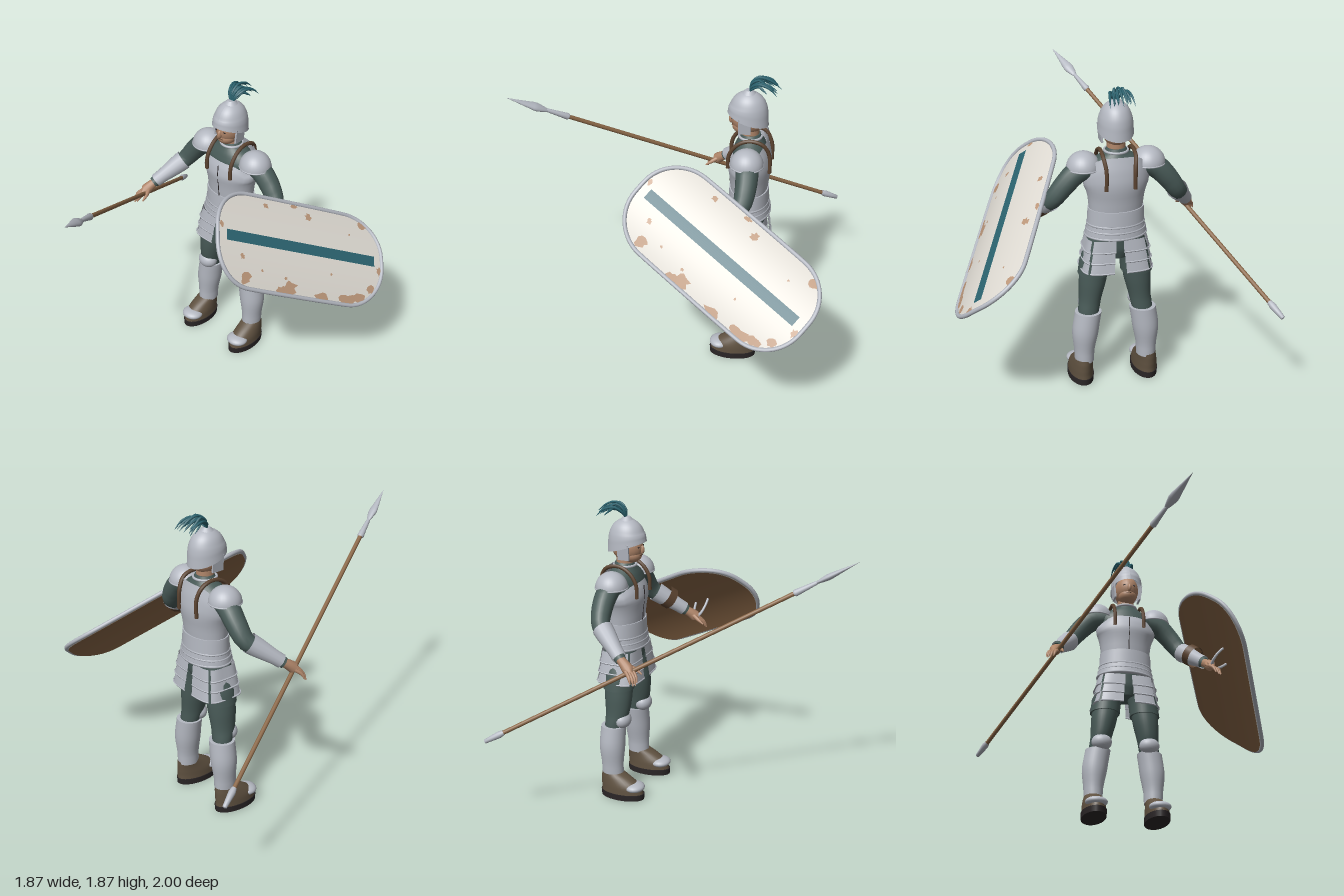
import * as THREE from 'three';

const mat = (name, color, side = THREE.DoubleSide) => {
  const m = new THREE.MeshStandardMaterial({ color, side });
  m.name = name;
  return m;
};
const V = (x, y, z) => new THREE.Vector3(x, y, z);

export function createModel() {
  const steel = mat('steel', 0xb4b8c1), cloth = mat('cloth', 0x495b58), skin = mat('skin', 0xb0866a);
  const leather = mat('leather', 0x5c4431), boot = mat('boot', 0x5f5140), sole = mat('sole', 0x2b2627);
  const wood = mat('wood', 0x8a6747), white = mat('shieldPaint', 0xdedad2), tan = mat('wornPaint', 0xbc977a);
  const teal = mat('teal', 0x2b636f);
  const model = new THREE.Group();
  const body = new THREE.Group();
  body.name = 'soldier';
  body.position.x = -0.05;
  model.add(body);

  const add = (parent, name, geo, m, pos = [0, 0, 0], scale = [1, 1, 1]) => {
    const mesh = new THREE.Mesh(geo, m);
    mesh.name = name;
    mesh.position.set(...pos);
    mesh.scale.set(...scale);
    parent.add(mesh);
    return mesh;
  };
  const ball = (name, m, pos, radii) => add(body, name, new THREE.SphereGeometry(1, 24, 16), m, pos, radii);

  // Move every vertex by a rule
  const reshape = (g, rule) => {
    const p = g.attributes.position;
    for (let k = 0; k < p.count; k++) p.setXYZ(k, ...rule(p.getX(k), p.getY(k), p.getZ(k)));
    g.computeVertexNormals();
    return g;
  };

  // Smooth stack of ellipses, bottom to top: [y, x, z, rx, rz]
  const loft = (rings, caps = true, seg = 32) => {
    const mid = new THREE.CatmullRomCurve3(rings.map(r => V(r[1], r[0], r[2])));
    const rad = new THREE.CatmullRomCurve3(rings.map(r => V(r[3], r[4], 0)));
    const n = (rings.length - 1) * 4, pos = [], idx = [];
    for (let i = 0; i <= n; i++) {
      const c = mid.getPoint(i / n), r = rad.getPoint(i / n);
      for (let j = 0; j < seg; j++) {
        const a = j / seg * Math.PI * 2, k = i * seg + j, l = i * seg + (j + 1) % seg;
        pos.push(c.x + r.x * Math.sin(a), c.y, c.z + r.y * Math.cos(a));
        if (i < n) idx.push(k, l, l + seg, k, l + seg, k + seg);
      }
    }
    if (caps) for (const i of [0, n]) {
      const c = mid.getPoint(i / n), b = pos.length / 3;
      pos.push(...pos.slice(i * seg * 3, (i + 1) * seg * 3), c.x, c.y, c.z);
      for (let j = 0; j < seg; j++) {
        const k = b + j, l = b + (j + 1) % seg;
        idx.push(b + seg, ...(i ? [k, l] : [l, k]));
      }
    }
    const g = new THREE.BufferGeometry();
    g.setAttribute('position', new THREE.Float32BufferAttribute(pos, 3));
    g.setIndex(idx);
    g.computeVertexNormals();
    return g;
  };

  // Tube along points whose radius runs through the given values
  const limb = (points, radii, n = 16, sides = 14) => {
    const path = new THREE.CatmullRomCurve3(points.map(p => V(...p)));
    const g = new THREE.TubeGeometry(path, n, 1, sides), p = g.attributes.position, v = V(0, 0, 0);
    for (let k = 0; k < p.count; k++) {
      const t = Math.floor(k / (sides + 1)) / n, f = t * (radii.length - 1);
      const i = Math.min(Math.floor(f), radii.length - 2), c = path.getPointAt(t);
      v.fromBufferAttribute(p, k).sub(c).multiplyScalar(THREE.MathUtils.lerp(radii[i], radii[i + 1], f - i)).add(c);
      p.setXYZ(k, v.x, v.y, v.z);
    }
    return g;
  };

  // Torso
  add(body, 'tunic', loft([[0.95, 0, -0.47, 0.155, 0.105], [1.12, 0, -0.47, 0.145, 0.097], [1.3, 0, -0.47, 0.172, 0.11],
    [1.38, 0, -0.47, 0.18, 0.104], [1.43, 0, -0.47, 0.14, 0.088], [1.475, 0, -0.47, 0.07, 0.065], [1.5, 0, -0.47, 0.055, 0.057]]), cloth);
  const plate = loft([[1.1, 0, -0.47, 0.156, 0.109], [1.2, 0, -0.47, 0.167, 0.12], [1.3, 0, -0.47, 0.19, 0.132],
    [1.37, 0, -0.47, 0.195, 0.122], [1.44, 0, -0.47, 0.183, 0.1]], false);
  add(body, 'cuirass', reshape(plate, (x, y, z) => { // armholes, lower neckline in front, higher behind
    const cut = Math.min(0.55, (z > -0.47 ? 0.27 : -0.14) + 0.55 * (x / 0.19) ** 4);
    return [x, y - Math.max(0, y - 1.25) * cut, z];
  }), steel);
  add(body, 'cuirassSeam', limb([[0, 1.13, -0.355], [0, 1.2, -0.35], [0, 1.3, -0.339], [0, 1.36, -0.343]], [0.003, 0.003], 8, 6), sole);
  [[1.035, 1.135, 0.17, 0.124], [1, 1.04, 0.176, 0.13], [0.965, 1.005, 0.184, 0.136]].forEach(([a, b, x, z]) => {
    add(body, 'waistBand', loft([[a, 0, -0.47, x, z], [b, 0, -0.47, x - 0.004, z - 0.004]]), steel);
    add(body, 'waistBandEdge', new THREE.TorusGeometry(1, 0.028, 6, 40).rotateX(Math.PI / 2), steel, [0, a + 0.006, -0.47], [x, 0.25, z]);
  });
  add(body, 'hips', loft([[0.83, 0, -0.47, 0.08, 0.085], [0.89, 0, -0.47, 0.15, 0.105], [0.97, 0, -0.47, 0.16, 0.113]]), cloth);

  // Head and helmet
  add(body, 'neck', new THREE.CylinderGeometry(0.052, 0.056, 0.14, 20), skin, [0, 1.49, -0.465]);
  add(body, 'collar', new THREE.TorusGeometry(0.068, 0.008, 8, 28).rotateX(Math.PI / 2), steel, [0, 1.48, -0.467]);
  ball('head', skin, [0, 1.6, -0.45], [0.077, 0.1, 0.102]);
  ball('jaw', skin, [0, 1.548, -0.42], [0.06, 0.05, 0.064]);
  ball('nose', skin, [0, 1.585, -0.352], [0.013, 0.028, 0.017]);
  add(body, 'mouth', new THREE.BoxGeometry(0.035, 0.004, 0.006), leather, [0, 1.55, -0.358]);
  const dome = [[0.123, -0.057], [0.12, -0.012], [0.117, 0.03], [0.107, 0.075], [0.085, 0.115], [0.05, 0.143], [0.02, 0.152], [0, 0.153]];
  const curve = new THREE.SplineCurve(dome.map(p => new THREE.Vector2(...p)));
  const shell = reshape(new THREE.LatheGeometry(curve.getPoints(28), 40), (x, y, z) => // rim rises toward the brow
    [x, y + (0.5 + z / 0.24) * 0.075 * THREE.MathUtils.clamp((0.075 - y) / 0.13, 0, 1), z]);
  add(body, 'helmet', shell, steel, [0, 1.617, -0.45], [0.85, 1, 1]);
  add(body, 'plumeHolder', new THREE.CylinderGeometry(0.022, 0.042, 0.02, 20), steel, [0, 1.772, -0.45]);
  for (let i = 0; i < 13; i++) {
    const s = (i - 6) / 6, h = (i % 3) * 0.012 + 0.022 * s * s, e = (i % 2) * 0.04;
    add(body, 'plumeFeather', limb([[s * 0.01, 1.775, -0.455], [s * 0.03, 1.835 - h, -0.465], [s * 0.05, 1.865 - h, -0.51],
      [s * 0.064, 1.85 - h, -0.575 + e], [s * 0.073, 1.8 - 0.015 * s * s, -0.64 + e + h]], [0.004, 0.007, 0.008, 0.007, 0.001], 12, 6), teal);
  }

  // Rounds a unit ring toward a square, so hip plates hang flat in front and behind
  const squarish = g => reshape(g, (x, y, z) => {
    const r = Math.hypot(x, z), f = r / (x ** 4 + z ** 4) ** 0.25;
    return [x * f, y, z * f];
  });

  for (const s of [-1, 1]) {
    const P = (x, y, z) => [s * x, y, z];
    // Face and helmet sides
    add(body, 'eye', new THREE.BoxGeometry(0.02, 0.006, 0.008), sole, P(0.028, 1.604, -0.359));
    const cheek = add(body, 'cheekGuard', new THREE.BoxGeometry(0.012, 0.1, 0.075), steel, P(0.087, 1.58, -0.437));
    cheek.rotation.z = -s * 0.1;

    // Shoulder strap and pauldron
    add(body, 'shoulderStrap', limb([[1.3, -0.346], [1.39, -0.352], [1.46, -0.4], [1.49, -0.47], [1.47, -0.55], [1.4, -0.59], [1.28, -0.595]]
      .map(([y, z], i) => P(i > 4 ? 0.085 : 0.095, y, z)), [0.012, 0.012], 28, 8), leather);
    add(body, 'pauldron', new THREE.SphereGeometry(0.1, 28, 12, 0, Math.PI * 2, 0, Math.PI / 2), steel, P(0.192, 1.385, -0.467));
    add(body, 'pauldronRim', new THREE.TorusGeometry(0.098, 0.005, 8, 32).rotateX(Math.PI / 2), steel, P(0.192, 1.388, -0.467));

    // Arm
    add(body, 'sleeve', limb([P(0.13, 1.39, -0.47), P(0.23, 1.365, -0.475), P(0.31, 1.285, -0.475), P(0.37, 1.2, -0.455), P(0.42, 1.135, -0.37),
      P(0.485, 1.05, -0.27)], [0.06, 0.068, 0.062, 0.052, 0.045, 0.034]), cloth);
    add(body, 'bracer', limb([P(0.378, 1.19, -0.44), P(0.477, 1.062, -0.282)], [0.063, 0.059, 0.052, 0.045, 0.043]), steel);
    add(body, 'palm', limb([P(0.475, 1.06, -0.285), P(0.495, 1.03, -0.24), P(0.51, 1.0, -0.205), P(0.52, 0.985, -0.185)],
      [0.026, 0.03, 0.036, 0.002]), skin);
    for (let i = 0; i < 4; i++) {
      const o = (i - 1.5) * 0.018, l = i === 1 || i === 2 ? 1 : 0.85;
      const q = (x, y, z) => P(x + o * 0.75, y, z - o * 0.47);
      add(body, 'finger', limb([q(0.505, 1.005, -0.21), q(0.505 + 0.03 * l, 1.005 - 0.035 * l, -0.21 + 0.04 * l),
        q(0.505 + 0.043 * l, 1.005 - 0.075 * l, -0.21 + 0.055 * l)], [0.012, 0.011, 0.01, 0.003], 8, 8), skin);
    }
    add(body, 'thumb', limb([P(0.485, 1.025, -0.225), P(0.467, 1.0, -0.18), P(0.465, 0.975, -0.145)], [0.015, 0.013, 0.004], 8, 8), skin);

    // Hip plates: three overlapping rows in front, side and back panels
    for (const [start, end] of [[0.12, 0.78], [0.86, 2.28], [2.36, 3.02]]) for (let row = 0; row < 3; row++) {
      const inner = row * 0.025, out = row * 0.008, span = end - start;
      const from = start < 0.5 ? start + inner : start, to = end > 3 ? end - inner : end;
      const a = s > 0 ? from : Math.PI * 2 - to, x = 0.184 + out, z = 0.116 + out;
      add(body, 'hipPlate', squarish(new THREE.CylinderGeometry(0.97, 1.06, 0.075, 12, 1, true, a, to - from)), steel, [0, 0.92 - row * 0.063, -0.47], [x, 1, z]);
      add(body, 'hipPlateEdge', squarish(new THREE.TorusGeometry(1, 0.026, 6, span > 1 ? 20 : 10, to - from).rotateX(-Math.PI / 2).rotateY(a - Math.PI / 2)),
        steel, [0, 0.886 - row * 0.063, -0.47], [x * 1.06, 0.22, z * 1.06]);
    }

    // Leg
    const L = rings => loft(rings.map(([y, x, z, rx, rz]) => [y, s * x, z, rx, rz]));
    add(body, 'breeches', L([[0.715, 0.13, -0.465, 0.095, 0.098], [0.8, 0.12, -0.468, 0.094, 0.098], [0.88, 0.1, -0.47, 0.088, 0.102],
      [0.96, 0.085, -0.47, 0.08, 0.1]]), cloth);
    add(body, 'legging', L([[0.4, 0.172, -0.488, 0.055, 0.055], [0.48, 0.163, -0.48, 0.063, 0.062], [0.55, 0.152, -0.466, 0.067, 0.075],
      [0.66, 0.137, -0.463, 0.081, 0.087], [0.76, 0.125, -0.465, 0.086, 0.09]]), cloth);
    ball('kneeGuard', steel, P(0.154, 0.508, -0.432), [0.065, 0.054, 0.055]);
    add(body, 'greave', L([[0.145, 0.192, -0.487, 0.058, 0.069], [0.22, 0.192, -0.488, 0.062, 0.07], [0.35, 0.185, -0.49, 0.08, 0.081],
      [0.47, 0.167, -0.487, 0.08, 0.078]]), steel);

    // Boot
    add(body, 'bootUpper', L([[0.03, 0.2, -0.418, 0.073, 0.142], [0.08, 0.2, -0.425, 0.071, 0.135], [0.13, 0.198, -0.46, 0.062, 0.1],
      [0.16, 0.194, -0.487, 0.056, 0.07]]), boot);
    add(body, 'bootSole', new THREE.CylinderGeometry(1, 0.98, 0.038, 32), sole, P(0.2, 0.019, -0.417), [0.077, 1, 0.147]);
    ball('toeCap', steel, P(0.2, 0.078, -0.335), [0.07, 0.031, 0.065]);
  }

  // Spear, built upright and turned along its line
  const spear = new THREE.Group();
  spear.name = 'spear';
  const butt = V(-0.92, 0.56, -0.995), line = V(0.02, 1.65, 0.995).sub(butt), len = line.length();
  spear.position.copy(butt);
  spear.quaternion.setFromUnitVectors(V(0, 1, 0), line.normalize());
  model.add(spear);
  const turn = pts => new THREE.LatheGeometry(pts.map(p => new THREE.Vector2(...p)), 16);
  add(spear, 'spearShaft', new THREE.CylinderGeometry(0.013, 0.013, len - 0.45, 14), wood, [0, len / 2 - 0.16, 0]);
  add(spear, 'spearButt', turn([[0, 0], [0.013, 0.002], [0.017, 0.05], [0.021, 0.1], [0.015, 0.13]]), steel);
  add(spear, 'spearSocket', turn([[0.015, 0], [0.021, 0.01], [0.017, 0.06], [0.012, 0.14], [0, 0.2]]), steel, [0, len - 0.42, 0]);
  add(spear, 'spearBlade', turn([[0.01, 0], [0.02, 0.03], [0.031, 0.075], [0.03, 0.1], [0.018, 0.17], [0, 0.28]]), steel, [0, len - 0.28, 0], [1, 1, 0.6]);

  // Shield: local x runs along it, y across it, z outward
  const shield = new THREE.Group();
  shield.name = 'shield';
  const n = V(0.741, 0.671, -0.015).normalize(), u = V(0.384, -0.442, -0.811);
  u.addScaledVector(n, -u.dot(n)).normalize();
  shield.quaternion.setFromRotationMatrix(new THREE.Matrix4().makeBasis(u, n.clone().cross(u), n));
  shield.position.set(0.574, 1.01, -0.377);
  model.add(shield);
  const SL = 0.628, SW = 0.293, R = 0.255, bulge = y => 0.048 * (1 - (y / SW) ** 2);
  const fit = (x, y, r) => { // keep a point inside the rounded outline
    const cx = THREE.MathUtils.clamp(x, R - SL, SL - R), cy = THREE.MathUtils.clamp(y, R - SW, SW - R);
    const d = Math.hypot(x - cx, y - cy), k = d > r ? r / d : 1;
    return [cx + (x - cx) * k, cy + (y - cy) * k];
  };
  const bend = (g, lift) => reshape(g, (px, py) => {
    const [x, y] = fit(px, py, R - 0.006);
    return [x, y, bulge(y) + lift];
  });
  const edge = [];
  for (const [sx, sy, q] of [[1, 1, 0], [-1, 1, 1], [-1, -1, 2], [1, -1, 3]]) for (let i = 0; i <= 12; i++) {
    const a = (q + i / 12) * Math.PI / 2, x = sx * (SL - R) + R * Math.cos(a), y = sy * (SW - R) + R * Math.sin(a);
    edge.push(V(x, y, bulge(y)));
  }
  const board = () => new THREE.PlaneGeometry(SL * 2, SW * 2, 48, 24);
  add(shield, 'shieldFace', bend(board(), 0), white);
  add(shield, 'shieldBack', bend(board(), -0.018), wood);
  add(shield, 'shieldRim', new THREE.TubeGeometry(new THREE.CatmullRomCurve3(edge, true), 140, 0.013, 10, true), steel);
  add(shield, 'shieldStripe', bend(new THREE.PlaneGeometry(1.13, 0.066, 1, 6), 0.004), teal);

  // Worn patches: [along, across, size, stretch]
  let seed = 7;
  const rnd = () => (seed = (seed * 16807) % 2147483647) / 2147483647;
  [[-0.08, -0.25, 0.038, 1.2], [-0.14, -0.27, 0.022, 1.6], [0.16, -0.275, 0.024, 2], [0.36, -0.265, 0.035, 1.9], [0.45, -0.24, 0.028, 1.6],
    [0.54, -0.18, 0.026, 1], [0.6, -0.06, 0.024, 0.8], [0.51, 0.23, 0.026, 1.3], [-0.25, 0.235, 0.016, 1.3], [0.07, 0.215, 0.022, 1.2],
    [-0.45, -0.115, 0.016, 1], [-0.41, -0.24, 0.03, 1.2], [-0.6, 0.06, 0.018, 0.7], [-0.03, 0.27, 0.014, 1.6], [0.22, -0.13, 0.008, 1],
    [-0.12, -0.2, 0.009, 1], [0.38, 0.15, 0.008, 1], [-0.3, -0.18, 0.008, 1]].forEach(([x, y, size, k]) => {
    const pts = Array.from({ length: 13 }, (_, i) => {
      const a = i / 13 * Math.PI * 2, r = size * (0.65 + 0.7 * rnd());
      return new THREE.Vector2(x + Math.cos(a) * r * k, y + Math.sin(a) * r);
    });
    add(shield, 'wornPatch', bend(new THREE.ShapeGeometry(new THREE.Shape(pts)), 0.004), tan);
  });

  // Arm strap and hand grip behind the shield
  add(shield, 'armStrap', new THREE.CylinderGeometry(0.07, 0.07, 0.055, 24, 1, true), leather, [-0.135, 0.185, -0.055]);
  add(shield, 'handGrip', new THREE.TorusGeometry(0.065, 0.008, 8, 20, Math.PI).rotateX(-Math.PI / 2), steel, [-0.18, -0.04, 0.03], [1, 1, 1.8]);
  return model;
}
